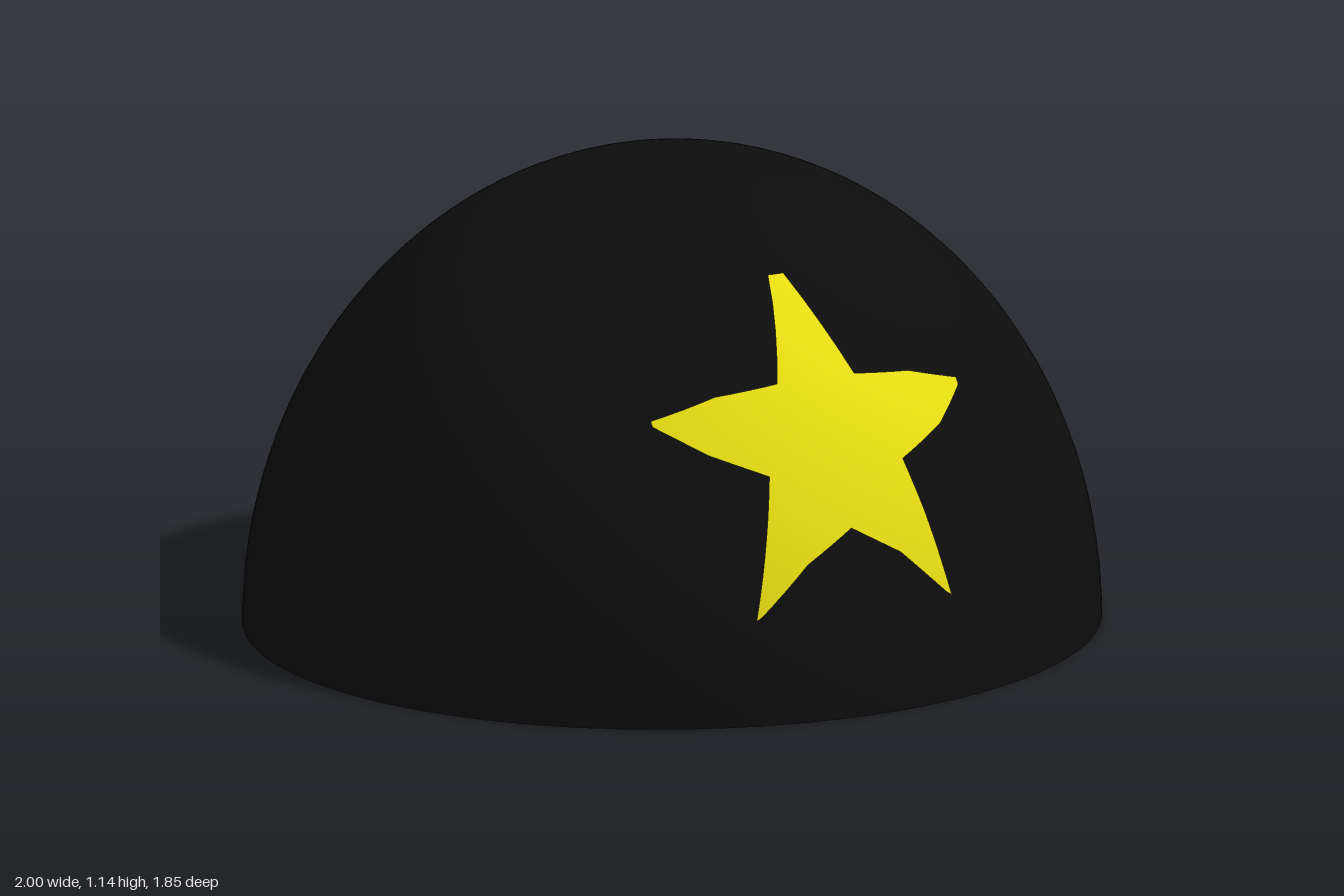
import * as THREE from 'three';

const HEIGHT = 1.14, SKEW = 0.06, DEPTH = 0.923;

export function createModel() {
  const group = new THREE.Group();
  const black = new THREE.MeshStandardMaterial({ color: 0x0d0d0d });
  black.name = 'black';
  const yellow = new THREE.MeshStandardMaterial({ color: 0xe8de12 });
  yellow.name = 'yellow';

  const add = (name, geometry, material) => {
    const mesh = new THREE.Mesh(geometry, material);
    mesh.name = name;
    group.add(mesh);
  };

  // Turns a unit hemisphere into the slightly skewed oval dome
  const skew = new THREE.Matrix4().set(
    1, 0, 0, 0,
    0, HEIGHT, 0, 0,
    SKEW, 0, DEPTH, 0,
    0, 0, 0, 1);

  // Dome and its flat underside
  add('dome', new THREE.SphereGeometry(1, 96, 40, 0, Math.PI * 2, 0, Math.PI / 2).applyMatrix4(skew), black);
  add('base', new THREE.CircleGeometry(1, 96).rotateX(Math.PI / 2).applyMatrix4(skew), black);

  // Star emblem wrapped onto the front of the dome
  add('star', starGeometry(), yellow);
  return group;
}

// Concentric star rings laid on the dome, lifted just off its surface
function starGeometry() {
  const outline = [
    [0.02, 0.965], [0.1, 0.76], [0.25, 0.742], [0.39, 0.7], [0.39, 0.685], [0.3, 0.622], [0.17, 0.57],
    [0.203, 0.45], [0.25, 0.25], [0.235, 0.26], [0.12, 0.37], [0, 0.44],
    [-0.12, 0.37], [-0.24, 0.26], [-0.255, 0.25], [-0.205, 0.45], [-0.175, 0.57],
    [-0.3, 0.622], [-0.4, 0.683], [-0.4, 0.695], [-0.25, 0.742], [-0.1, 0.76], [-0.02, 0.965],
  ];
  const SUB = 4, RINGS = 16, CY = 0.6, LIFT = 1.005;
  const rim = outline.flatMap(([x, y], i) => {
    const [nx, ny] = outline[(i + 1) % outline.length];
    return Array.from({ length: SUB }, (_, k) => [x + (nx - x) * k / SUB, y + (ny - y) * k / SUB]);
  });

  const positions = [], normals = [], indices = [];
  const n = rim.length;
  for (let r = 0; r <= RINGS; r++) {
    for (const [px, py] of rim) {
      const x = px * r / RINGS, y = CY + (py - CY) * r / RINGS;
      const v = y / HEIGHT, w = Math.sqrt(1 - x * x - v * v);
      positions.push(x * LIFT, y * LIFT, (SKEW * x + DEPTH * w) * LIFT);
      const normal = new THREE.Vector3(x - SKEW * w / DEPTH, v / HEIGHT, w / DEPTH).normalize();
      normals.push(normal.x, normal.y, normal.z);
    }
  }
  // The outline runs clockwise, so corners are ordered to face outward
  for (let r = 0; r < RINGS; r++) {
    for (let i = 0; i < n; i++) {
      const j = (i + 1) % n;
      const a = r * n + i, b = r * n + j, c = a + n, d = b + n;
      indices.push(a, d, c);
      if (r > 0) indices.push(a, b, d);
    }
  }
  const geometry = new THREE.BufferGeometry();
  geometry.setAttribute('position', new THREE.Float32BufferAttribute(positions, 3));
  geometry.setAttribute('normal', new THREE.Float32BufferAttribute(normals, 3));
  geometry.setIndex(indices);
  return geometry;
}
